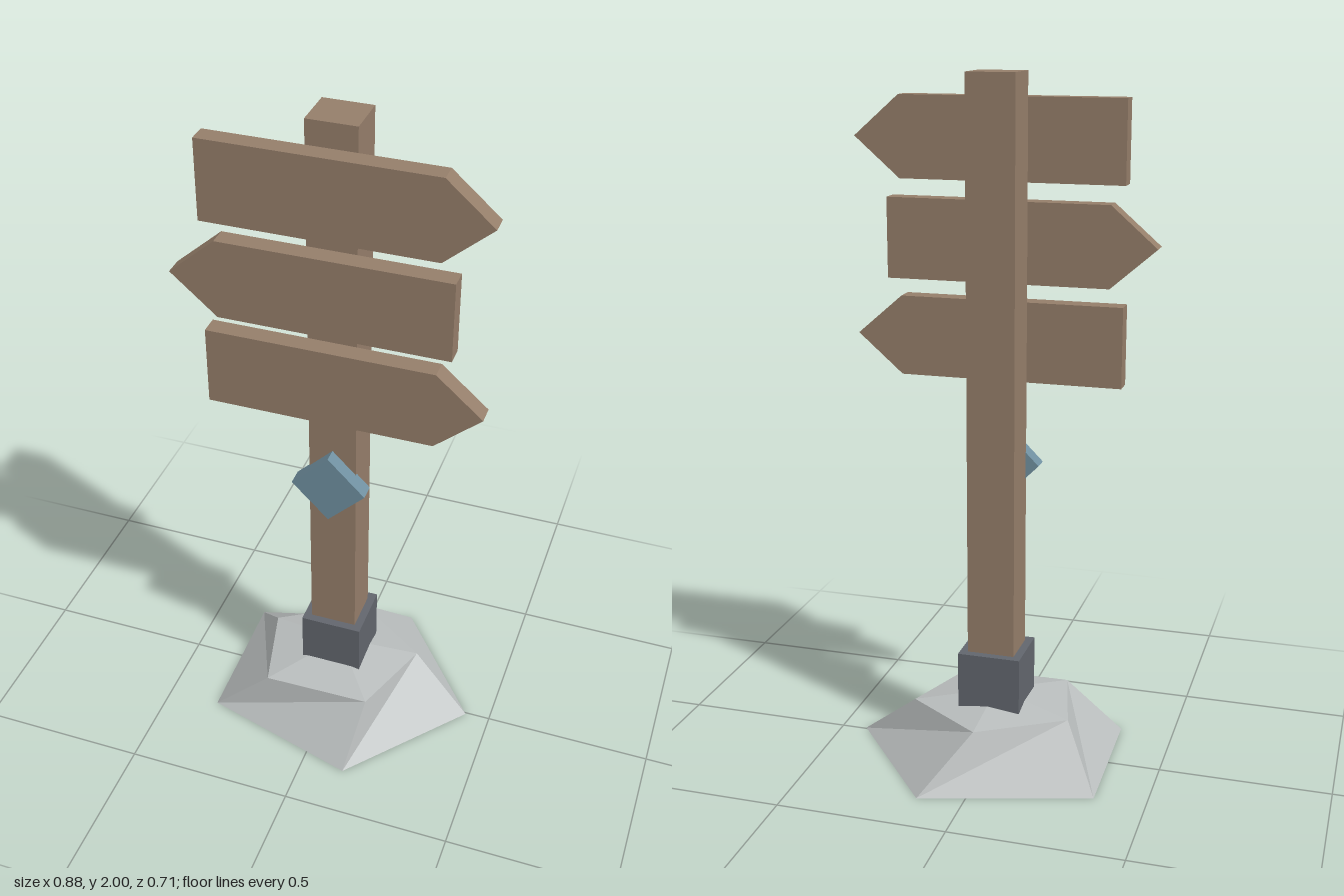
import * as THREE from 'three';

const material = (name, color, side = THREE.FrontSide) => {
  const m = new THREE.MeshStandardMaterial({ color, side });
  m.name = name;
  return m;
};

export function createModel() {
  const wood = material('wood', 0x957e6a);
  const iron = material('iron', 0x62666d);
  const blue = material('blue marker', 0x7090a0);
  const stone = material('stone', 0xb8bcbc, THREE.DoubleSide);
  stone.flatShading = true;

  const group = new THREE.Group();
  group.name = 'signpost';
  const add = (name, geometry, mat, x = 0, y = 0, z = 0) => {
    const mesh = new THREE.Mesh(geometry, mat);
    mesh.name = name;
    mesh.position.set(x, y, z);
    group.add(mesh);
    return mesh;
  };

  // Post standing in an iron collar, with a dark inset under its foot
  add('post', new THREE.BoxGeometry(0.14, 1.905, 0.128), wood, 0, 1.0475, 0);
  add('collar', new THREE.BoxGeometry(0.186, 0.235, 0.176), iron, 0, 0.2175, 0);
  add('postFoot', new THREE.BoxGeometry(0.112, 0.006, 0.1), iron, 0, 0.094, 0);

  // Arrow boards, alternating direction
  const arrow = (dir) => {
    const pts = [[-0.345, -0.116], [0.305, -0.116], [0.438, 0], [0.305, 0.116], [-0.345, 0.116]];
    const shape = new THREE.Shape(pts.map(([x, y]) => new THREE.Vector2(x * dir, y)));
    return new THREE.ExtrudeGeometry(shape, { depth: 0.055, bevelEnabled: false });
  };
  [[1, 1.815], [-1, 1.53], [1, 1.248]].forEach(([dir, y], i) =>
    add(`arrowBoard${i + 1}`, arrow(dir), wood, 0, y, 0.065));

  // Diamond marker on the front of the post
  const marker = add('diamondMarker', new THREE.BoxGeometry(0.155, 0.155, 0.05), blue, 0, 0.887, 0.081);
  marker.rotation.z = Math.PI / 4;

  // Faceted rock mound, open underneath: foot ring, shoulder ring and peak
  const foot = [[0.425, 0.005], [0.135, -0.355], [-0.35, -0.215], [-0.34, 0.22], [0.13, 0.352]];
  const shoulder = [[0.24, -0.055], [0.01, -0.21], [-0.235, -0.06], [-0.17, 0.2], [0.15, 0.195]];
  const positions = [
    ...foot.flatMap(([x, z]) => [x, 0, z]),
    ...shoulder.flatMap(([x, z]) => [x, 0.153, z]),
    0, 0.195, 0,
  ];
  const index = [];
  for (let i = 0; i < 5; i++) {
    const j = (i + 1) % 5;
    index.push(i, j, 5 + j, i, 5 + j, 5 + i, 5 + i, 5 + j, 10);
  }
  const rock = new THREE.BufferGeometry();
  rock.setAttribute('position', new THREE.Float32BufferAttribute(positions, 3));
  rock.setIndex(index);
  const faceted = rock.toNonIndexed();
  faceted.computeVertexNormals();
  add('rockMound', faceted, stone);

  return group;
}
